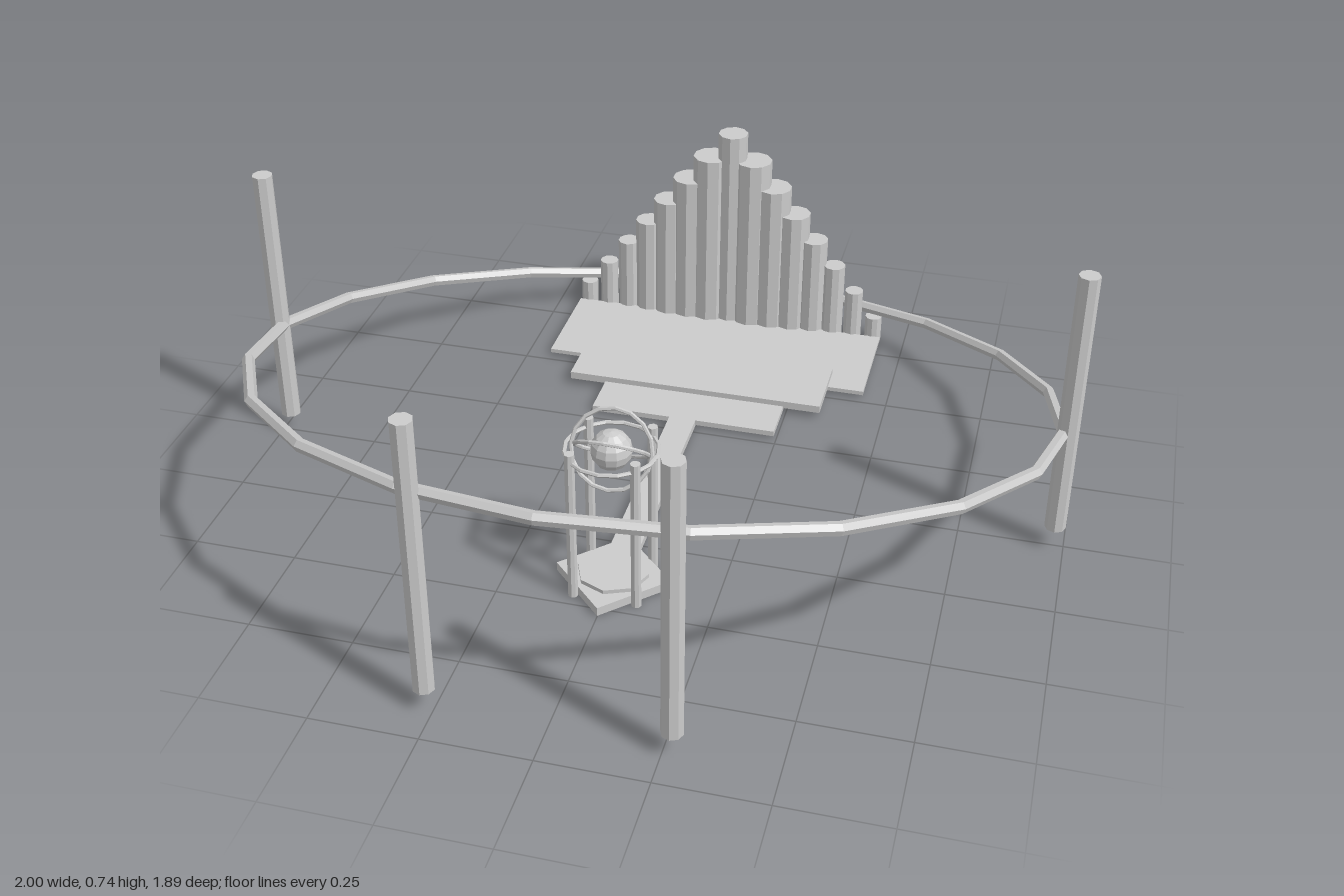
import * as THREE from 'three';

export function createModel() {
  const model = new THREE.Group();
  const mat = new THREE.MeshStandardMaterial({ color: 0xcccccc, flatShading: true });

  const add = (name, geometry, x, y, z, parent = model) => {
    const mesh = new THREE.Mesh(geometry, mat);
    mesh.name = name;
    mesh.position.set(x, y, z);
    parent.add(mesh);
    return mesh;
  };
  // Upright prism standing between two heights
  const post = (name, r, y0, y1, x, z, sides = 8, parent = model) =>
    add(name, new THREE.CylinderGeometry(r, r, y1 - y0, sides), x, (y0 + y1) / 2, z, parent);
  // Slab given by half width, height range and depth range
  const slab = (name, hw, y0, y1, z0, z1) =>
    add(name, new THREE.BoxGeometry(hw * 2, y1 - y0, z1 - z0), 0, (y0 + y1) / 2, (z0 + z1) / 2);
  // Hoop lying flat, then tilted about x
  const hoop = (name, r, tube, tilt, sides, y, z, parent = model) => {
    const mesh = add(name, new THREE.TorusGeometry(r, tube, 6, sides), 0, y, z, parent);
    mesh.rotation.x = Math.PI / 2 + tilt;
    return mesh;
  };

  // Great tilted ring, high at the front
  hoop('greatRing', 0.965, 0.015, -Math.PI / 12, 20, 0.32, 0);

  // Pylons around the ring
  for (const s of [-1, 1]) {
    post('sidePylon', 0.025, 0.055, 0.735, s * 0.975, 0);
    post('frontPylon', 0.025, 0.055, 0.735, s * 0.27, 0.905);
  }

  // Stepped row of columns, shorter towards both ends
  const radii = [0.04, 0.05, 0.048, 0.044, 0.037, 0.03, 0.025, 0.023];
  const columns = new THREE.Group();
  columns.name = 'columnRow';
  model.add(columns);
  for (let i = -7; i <= 7; i++) {
    const k = Math.abs(i);
    post('column', radii[k], 0, 0.585 - 0.0727 * k, i * 0.0588, -0.83, 10, columns);
  }

  // Terraces and walkway
  slab('rearTerrace', 0.435, 0.01, 0.021, -0.81, -0.52);
  slab('middleTerrace', 0.34, 0.017, 0.037, -0.59, -0.395);
  slab('frontTerrace', 0.243, 0.008, 0.022, -0.40, -0.272);
  slab('walkway', 0.035, 0.004, 0.022, -0.29, 0.40);

  // Pavilion: diamond base, four posts, globe within hoops
  const pavilion = new THREE.Group();
  pavilion.name = 'pavilion';
  pavilion.position.z = 0.39;
  model.add(pavilion);
  post('pavilionBase', 0.137, 0.002, 0.024, 0, 0, 4, pavilion);
  post('pavilionStep', 0.085, 0.024, 0.034, 0, 0, 8, pavilion);
  for (const x of [-0.075, 0.075])
    for (const z of [-0.075, 0.075]) post('pavilionPost', 0.012, 0, 0.392, x, z, 8, pavilion);
  add('globe', new THREE.SphereGeometry(0.048, 12, 8), 0, 0.367, 0, pavilion);
  hoop('levelHoop', 0.106, 0.005, 0, 16, 0.369, 0, pavilion);
  hoop('uprightHoop', 0.094, 0.005, THREE.MathUtils.degToRad(68), 16, 0.367, 0, pavilion);
  hoop('slantedHoop', 0.085, 0.005, THREE.MathUtils.degToRad(-42), 16, 0.367, 0, pavilion);

  return model;
}
